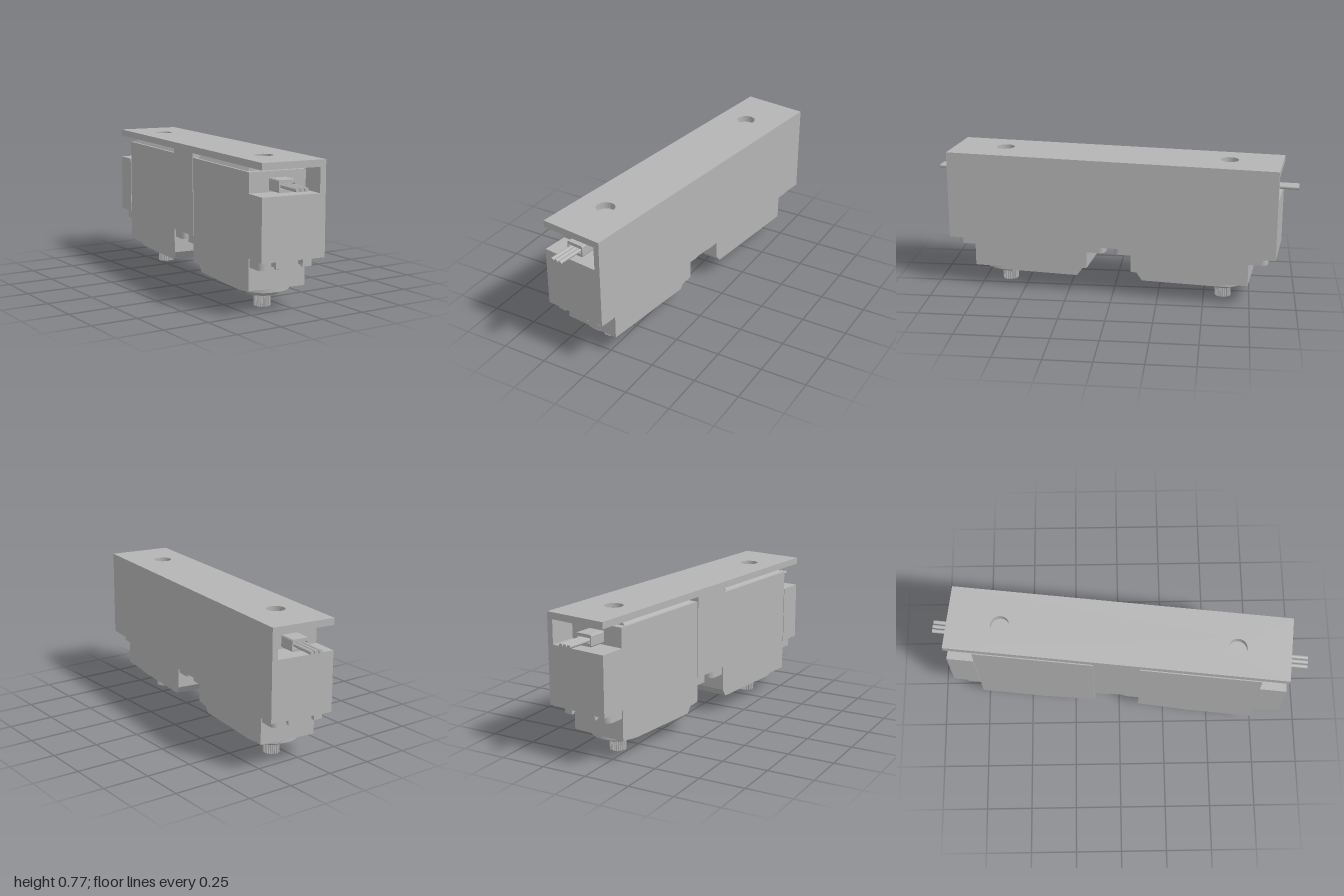
import * as THREE from 'three';

const grey = new THREE.MeshStandardMaterial({ color: 0xb4b4b4 });
grey.name = 'plain grey';

function mesh(name, geometry, parent) {
  const m = new THREE.Mesh(geometry, grey);
  m.name = name;
  parent.add(m);
  return m;
}

// Box given by its lower and upper corners
function box(name, parent, [x0, y0, z0], [x1, y1, z1]) {
  const g = new THREE.BoxGeometry(x1 - x0, y1 - y0, z1 - z0);
  g.translate((x0 + x1) / 2, (y0 + y1) / 2, (z0 + z1) / 2);
  return mesh(name, g, parent);
}

function polygon(points) {
  return new THREE.Shape(points.map(([a, b]) => new THREE.Vector2(a, b)));
}

function circleHole(x, y, r) {
  const p = new THREE.Path();
  p.absarc(x, y, r, 0, Math.PI * 2, true);
  return p;
}

const extrude = (shape, depth) =>
  new THREE.ExtrudeGeometry(shape, { depth, bevelEnabled: false, curveSegments: 24 });

// Plan outline (x, z) given a thickness between two heights
function plan(shape, yLow, yHigh) {
  return extrude(shape, yHigh - yLow).rotateX(Math.PI / 2).translate(0, yHigh, 0);
}

// Side outline (z, y) given a width across x
function side(shape, width) {
  return extrude(shape, width).rotateY(-Math.PI / 2).translate(width / 2, 0, 0);
}

// Mounting flange: rounded corners and two keyhole slots at each end
function flangeShape() {
  const w = 0.152, l = 0.42, r = 0.03, hole = 0.032, half = 0.014, hz = 0.372;
  const end = [];
  const arc = (cx, cz, rad, a0, a1, n) => {
    for (let i = 0; i <= n; i++) {
      const a = a0 + ((a1 - a0) * i) / n;
      end.push([cx + rad * Math.cos(a), cz + rad * Math.sin(a)]);
    }
  };
  arc(w - r, l - r, r, 0, Math.PI / 2, 6);
  const open = Math.asin(half / hole);
  for (const cx of [0.075, -0.075]) {
    end.push([cx + half, l]);
    arc(cx, hz, hole, Math.PI / 2 - open, -Math.PI * 1.5 + open, 20);
    end.push([cx - half, l]);
  }
  arc(-w + r, l - r, r, Math.PI / 2, Math.PI, 6);
  return polygon([...end, ...end.map(([x, z]) => [-x, -z])]);
}

// Splined shaft outline with a screw hole
function splineShape() {
  const teeth = 24, pts = [];
  for (let i = 0; i < teeth * 4; i++) {
    const a = (i / (teeth * 4)) * Math.PI * 2;
    const r = i % 4 < 2 ? 0.044 : 0.039;
    pts.push([r * Math.cos(a), r * Math.sin(a)]);
  }
  const s = polygon(pts);
  s.holes.push(circleHole(0, 0, 0.025));
  return s;
}

function createServo() {
  const servo = new THREE.Group();
  const shaftZ = 0.168;

  // Case, with its underside rising towards the inner end
  mesh('servoCase', side(polygon([
    [-0.32, 0.15], [-0.03, 0.12], [0.32, 0.12], [0.32, 0.71], [-0.32, 0.71],
  ]), 0.317), servo);

  // Bevelled lid with a central groove
  const lid = extrude(polygon([
    [-0.146, 0.709], [0.146, 0.709], [0.129, 0.734], [0.084, 0.734],
    [0.084, 0.715], [-0.084, 0.715], [-0.084, 0.734], [-0.129, 0.734],
  ]), 0.56);
  mesh('servoLid', lid.translate(0, 0, -0.28), servo);

  // Mounting flange and gussets
  mesh('mountingFlange', plan(flangeShape(), 0.24, 0.286), servo);
  for (const s of [1, -1]) {
    const gusset = side(polygon([[0.315, 0.217], [0.335, 0.217], [0.41, 0.241], [0.315, 0.241]]), 0.022);
    if (s < 0) gusset.rotateY(Math.PI);
    mesh('flangeGusset', gusset, servo);
  }

  // Gear cover: round at the shaft, sloped at the inner end
  const r = 0.138;
  const cover = new THREE.Shape();
  cover.moveTo(-r, -0.3);
  cover.lineTo(r, -0.3);
  cover.lineTo(r, shaftZ);
  cover.absarc(0, shaftZ, r, 0, Math.PI, false);
  cover.closePath();
  const coverGeo = plan(cover, 0.096, 0.15);
  const p = coverGeo.attributes.position;
  for (let i = 0; i < p.count; i++) {
    if (p.getZ(i) < -0.29 && p.getY(i) < 0.1) p.setZ(i, -0.26);
  }
  coverGeo.computeVertexNormals();
  mesh('gearCover', coverGeo, servo);

  // Bearing collar with a recessed ring and ribs
  const collar = extrude(new THREE.Shape(), 0).dispose();
  const profile = [[0.06, 0.1], [0.06, 0.067], [0.08, 0.067], [0.1, 0.085], [0.1, 0.1]];
  for (let i = 0; i < profile.length - 1; i++) {
    // each band is separate so its edges stay sharp
    const band = new THREE.LatheGeometry(
      [profile[i], profile[i + 1]].map(([a, b]) => new THREE.Vector2(a, b)), 40);
    mesh('bearingCollar', band, servo).position.z = shaftZ;
  }
  for (let i = 0; i < 4; i++) {
    const rib = new THREE.BoxGeometry(0.03, 0.02, 0.014);
    rib.translate(0.05, 0.086, 0).rotateY((i * Math.PI) / 2);
    mesh('collarRib', rib, servo).position.z = shaftZ;
  }

  // Output shaft
  mesh('outputShaft', plan(splineShape(), 0, 0.097), servo).position.z = shaftZ;
  const plug = new THREE.CylinderGeometry(0.026, 0.026, 0.05, 24);
  mesh('shaftCore', plug.translate(0, 0.07, 0), servo).position.z = shaftZ;

  // Cable boot with a recess, and three wires
  const boot = polygon([
    [-0.044, 0.615], [0.044, 0.615], [0.048, 0.621], [0.048, 0.671],
    [0.044, 0.677], [-0.044, 0.677], [-0.048, 0.671], [-0.048, 0.621],
  ]);
  boot.holes.push(new THREE.Path([
    [-0.04, 0.632], [-0.04, 0.66], [0.04, 0.66], [0.04, 0.632],
  ].map(([a, b]) => new THREE.Vector2(a, b))));
  mesh('cableBoot', extrude(boot, 0.1).translate(0, 0, 0.318), servo);
  for (const x of [-0.025, 0, 0.025]) {
    const wire = new THREE.CylinderGeometry(0.0105, 0.0105, 0.24, 14).rotateX(Math.PI / 2);
    mesh('wire', wire, servo).position.set(x, 0.646, 0.437);
  }
  return servo;
}

export function createModel() {
  const model = new THREE.Group();
  model.name = 'twinServoHolder';
  const body = new THREE.Group();
  body.name = 'turnedAssembly';
  body.rotation.y = -0.1173;
  model.add(body);

  // Holder: top plate with two access holes, one long wall, end and middle blocks
  const holder = new THREE.Group();
  holder.name = 'holder';
  body.add(holder);
  const X = 0.176, Z = 0.906, wall = 0.144;
  const top = polygon([[-X, -Z], [X, -Z], [X, Z], [-X, Z]]);
  for (const z of [0.625, -0.625]) top.holes.push(circleHole(-0.0165, z, 0.049));
  mesh('topPlate', plan(top, 0.735, 0.771), holder);
  box('sideWall', holder, [wall, 0.286, -Z], [X, 0.735, Z]);
  box('middleBlock', holder, [-X, 0.286, -0.118], [wall, 0.735, 0.128]);
  box('frontBlock', holder, [-X, 0.286, 0.768], [wall, 0.606, Z]);
  box('backBlock', holder, [-X, 0.286, -Z], [wall, 0.606, -0.762]);

  // Two servos facing opposite ways
  const front = createServo();
  front.name = 'frontServo';
  front.position.set(-0.0145, 0, 0.448);
  const back = createServo();
  back.name = 'backServo';
  back.position.set(-0.0145, 0, -0.44);
  back.rotation.y = Math.PI;
  body.add(front, back);
  return model;
}
